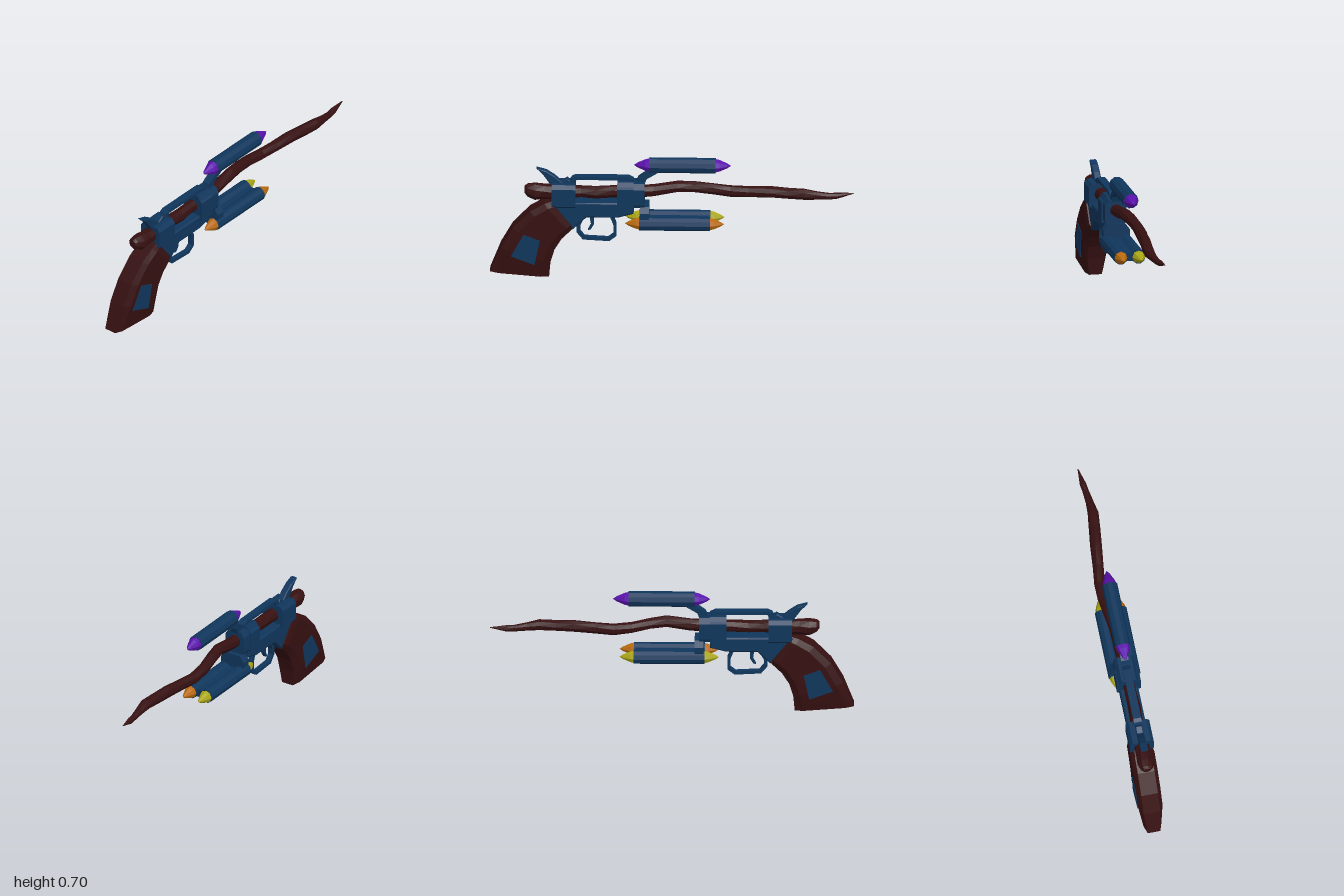
import * as THREE from 'three';

const mat = (name, color) => {
  const m = new THREE.MeshStandardMaterial({ color });
  m.name = name;
  return m;
};

export function createModel() {
  const root = new THREE.Group();
  root.name = 'wandRevolver';
  const blue = mat('blue steel', 0x10365c);
  const wood = mat('dark wood', 0x361011);
  const purple = mat('purple', 0x5a10ac);
  const orange = mat('orange', 0xb8690c);
  const yellow = mat('yellow', 0xaaa614);

  const add = (name, geo, material, parent = root) => {
    const g = geo.index ? geo.toNonIndexed() : geo;
    g.computeVertexNormals(); // faceted look
    const mesh = new THREE.Mesh(g, material);
    mesh.name = name;
    parent.add(mesh);
    return mesh;
  };

  const shapeOf = pts => new THREE.Shape(pts.map(p => new THREE.Vector2(...p)));

  // Side profile (x, y) given a thickness of 2 * half, with chamfered rims
  const plate = (pts, half, bevel = 0) => {
    const g = new THREE.ExtrudeGeometry(shapeOf(pts), {
      depth: 2 * (half - bevel), bevelEnabled: bevel > 0, bevelThickness: bevel,
      bevelSize: bevel, bevelOffset: -bevel, bevelSegments: 1,
    });
    return g.translate(0, 0, bevel - half);
  };

  // Mirrored end profile (half width, y) from bottom to top, run along x
  const block = (side, x0, x1) => {
    const pts = [...side, ...side.map(([w, y]) => [-w, y]).reverse()];
    const g = new THREE.ExtrudeGeometry(shapeOf(pts), { depth: x1 - x0, bevelEnabled: false });
    return g.rotateY(Math.PI / 2).translate(x0, 0, 0);
  };

  // Skin over equal rings of Vector3, closed at both ends
  const loft = rings => {
    const n = rings[0].length, pos = [], idx = [];
    const centre = r => r.reduce((s, p) => s.add(p), new THREE.Vector3()).divideScalar(n);
    rings.forEach(r => r.forEach(p => pos.push(p.x, p.y, p.z)));
    const last = rings.length - 1, c0 = rings.length * n;
    [rings[0], rings[last]].forEach(r => pos.push(...centre(r).toArray()));
    for (let j = 0; j < n; j++) {
      const k = (j + 1) % n;
      for (let i = 0; i < last; i++) {
        const a = i * n + j, b = i * n + k;
        idx.push(a, b, a + n, b, b + n, a + n);
      }
      idx.push(c0, k, j, c0 + 1, last * n + j, last * n + k);
    }
    const g = new THREE.BufferGeometry();
    g.setAttribute('position', new THREE.Float32BufferAttribute(pos, 3));
    g.setIndex(idx);
    return g;
  };

  // Crooked wand barrel: x, y, z, radius
  const wand = [
    [-0.81, 0.515, 0, 0.022], [-0.795, 0.51, 0, 0.037], [-0.755, 0.503, 0, 0.048], [-0.7, 0.503, 0, 0.043],
    [-0.6, 0.5, 0, 0.042], [-0.5, 0.506, 0, 0.035], [-0.42, 0.502, 0.004, 0.036], [-0.33, 0.507, 0, 0.034],
    [-0.2, 0.508, 0, 0.035], [-0.1, 0.515, -0.005, 0.034], [0.03, 0.537, -0.01, 0.033], [0.12, 0.53, -0.025, 0.032],
    [0.22, 0.512, -0.04, 0.031], [0.32, 0.499, -0.04, 0.032], [0.42, 0.502, -0.028, 0.031],
    [0.54, 0.508, -0.016, 0.033], [0.64, 0.505, -0.004, 0.032], [0.73, 0.504, 0.006, 0.031],
    [0.8, 0.495, 0, 0.023], [0.87, 0.488, -0.008, 0.018], [0.91, 0.49, -0.014, 0.018], [1.0, 0.5, -0.025, 0.002],
  ];
  add('wandBarrel', loft(wand.map(([x, y, z, r], i) => Array.from({ length: 8 }, (_, j) => {
    const a = j * Math.PI / 4 + i * 0.15;
    return new THREE.Vector3(x, y + r * Math.cos(a), z + r * Math.sin(a));
  }))), wood);

  // Curved grip: back x, y, front x, y, half width
  const grip = [
    [-0.66, 0.46, -0.54, 0.305, 0.06], [-0.7, 0.447, -0.56, 0.285, 0.067], [-0.78, 0.4, -0.605, 0.24, 0.067],
    [-0.875, 0.3, -0.645, 0.175, 0.067], [-0.94, 0.185, -0.667, 0.1, 0.067], [-1.0, 0.035, -0.675, 0.008, 0.05],
  ];
  add('grip', loft(grip.map(([bx, by, fx, fy, w]) => {
    const at = (t, z) => new THREE.Vector3(bx + (fx - bx) * t, by + (fy - by) * t, z);
    const n = w * 0.7;
    return [at(0, n), at(0, -n), at(0.14, -w), at(0.86, -w), at(1, -n), at(1, n), at(0.86, w), at(0.14, w)];
  })), wood);

  // Inlaid diamonds on both cheeks of the grip
  const inlay = [[-0.885, 0.14], [-0.755, 0.09], [-0.725, 0.235], [-0.815, 0.27]];
  for (const s of [1, -1]) add('gripInlay', plate(inlay, 0.004).translate(0, 0, s * 0.066), blue);

  // Frame
  add('frame', plate([[-0.675, 0.455], [-0.545, 0.295], [-0.47, 0.368], [-0.3, 0.368], [-0.21, 0.392],
    [-0.21, 0.455]], 0.052, 0.008), blue);
  add('rearBlock', block([[0.05, 0.425], [0.067, 0.44], [0.067, 0.54], [0.05, 0.562]], -0.66, -0.53), blue);
  add('frontBlock', block([[0.067, 0.428], [0.067, 0.545], [0.055, 0.555], [0.04, 0.578]], -0.3, -0.21), blue);
  add('frontCollar', block([[0.05, 0.43], [0.06, 0.45], [0.06, 0.54], [0.04, 0.57]], -0.21, -0.15), blue);
  add('topStrap', plate([[-0.575, 0.545], [-0.55, 0.59], [-0.53, 0.6], [-0.24, 0.6], [-0.21, 0.585], [-0.21, 0.55],
    [-0.235, 0.55], [-0.25, 0.582], [-0.525, 0.582], [-0.545, 0.545]], 0.022), blue);
  add('hammer', plate([[-0.745, 0.645], [-0.69, 0.63], [-0.645, 0.6], [-0.608, 0.567], [-0.575, 0.587],
    [-0.54, 0.555], [-0.6, 0.52], [-0.65, 0.52], [-0.675, 0.56], [-0.71, 0.61]], 0.02, 0.005), blue);

  // Trigger and guard
  add('triggerGuard', plate([[-0.5, 0.37], [-0.525, 0.31], [-0.525, 0.265], [-0.49, 0.222], [-0.345, 0.214],
    [-0.305, 0.245], [-0.305, 0.315], [-0.325, 0.37], [-0.345, 0.37], [-0.322, 0.31], [-0.322, 0.255],
    [-0.35, 0.233], [-0.48, 0.24], [-0.505, 0.27], [-0.505, 0.305], [-0.475, 0.37]], 0.014), blue);
  add('trigger', plate([[-0.455, 0.37], [-0.445, 0.31], [-0.462, 0.278], [-0.448, 0.28], [-0.43, 0.31],
    [-0.43, 0.37]], 0.01), blue);

  // Tubes with a pointed, shouldered cap at each end
  const tube = (name, tip, x0, x1, y, z, r, len) => {
    const g = new THREE.Group();
    g.name = name;
    g.position.set(0, y, z);
    root.add(g);
    const body = new THREE.CylinderGeometry(r, r, x1 - x0, 10).rotateZ(-Math.PI / 2);
    add('tubeBody', body.translate((x0 + x1) / 2, 0, 0), blue, g);
    const profile = [[r * 0.92, 0], [r * 0.8, len * 0.25], [r * 0.35, len * 0.75], [0, len]];
    for (const [x, s] of [[x1, 1], [x0, -1]]) {
      const cap = new THREE.LatheGeometry(profile.map(p => new THREE.Vector2(...p)), 8);
      add('tubeTip', cap.rotateZ(-s * Math.PI / 2).translate(x, 0, 0), tip, g);
    }
  };
  tube('upperTube', purple, -0.125, 0.24, 0.667, 0, 0.043, 0.085);
  tube('lowerLeftTube', orange, -0.18, 0.21, 0.338, 0.05, 0.039, 0.078);
  tube('lowerRightTube', yellow, -0.18, 0.21, 0.338, -0.05, 0.039, 0.078);

  // Mounts that carry the tubes
  add('lowerTubeSpine', block([[0.02, 0.315], [0.02, 0.36]], -0.17, 0.2), blue);
  add('lowerMount', block([[0.045, 0.345], [0.075, 0.37], [0.075, 0.405], [0.05, 0.438]], -0.175, -0.125), blue);
  add('upperMount', plate([[-0.2, 0.56], [-0.15, 0.56], [-0.14, 0.59], [-0.075, 0.63], [-0.115, 0.645],
    [-0.185, 0.595]], 0.022), blue);

  return root;
}
